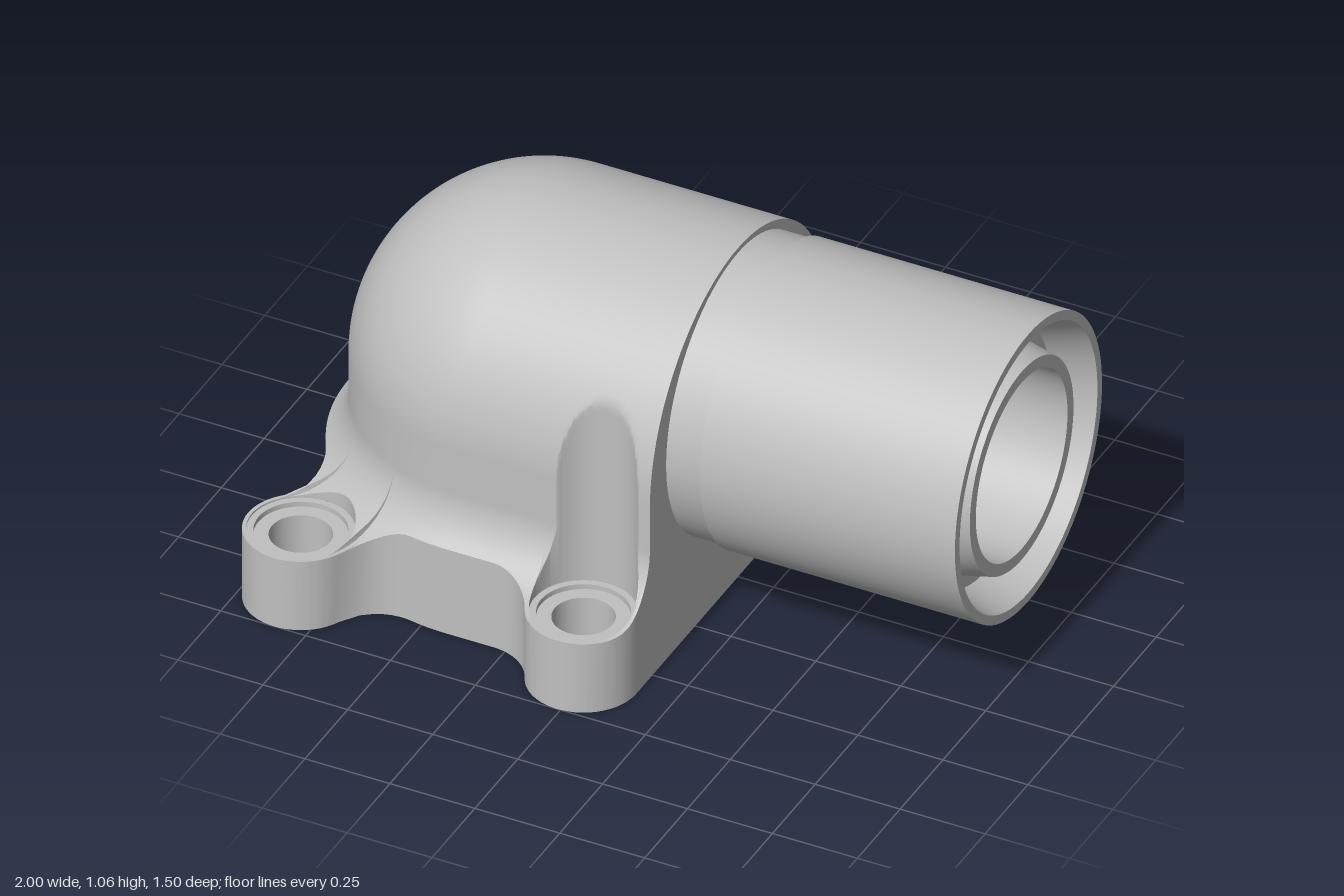
import * as THREE from 'three';
import { toCreasedNormals } from 'three/addons/utils/BufferGeometryUtils.js';

const AX = -0.425, END = 0.145, BORE_Y = 0.625;      // elbow axis, flat end, pipe height
const BODY_R = 0.515, BODY_Y = 0.545, SIDE_Y = 0.41; // dome radius, dome centre, top of fillet
const FIL = 0.19, BASE = 0.575;                      // body fillet, flange offset from the spine
const BOSS_R = 0.155, SEAT_R = 0.144, SEAT_Y = 0.215, NECK = 0.15;
const CAV_R = 0.33, PIPE_R = 0.268;
const rightBoss = { x: -0.01, z: 0.595 }, leftBoss = { x: -0.842, z: 0.595 };

const steel = new THREE.MeshStandardMaterial({ color: 0xc0c0c0, side: THREE.DoubleSide });
steel.name = 'light grey metal';

function part(name, geo, crease = 0.5) {
  const m = new THREE.Mesh(toCreasedNormals(geo, crease), steel);
  m.name = name;
  return m;
}

// Surface through a list of equally long point rows; skips one band if asked
function grid(lines, skip = -1) {
  const out = [], e1 = new THREE.Vector3(), e2 = new THREE.Vector3();
  const tri = (a, b, c) => {
    e1.subVectors(b, a); e2.subVectors(c, a);
    if (e1.cross(e2).length() > 1e-10) for (const p of [a, b, c]) out.push(p.x, p.y, p.z);
  };
  for (let i = 0; i < lines.length - 1; i++) for (let j = 0; j < lines[i].length - 1; j++) {
    if (j === skip) continue;
    const a = lines[i][j], b = lines[i][j + 1], c = lines[i + 1][j + 1], d = lines[i + 1][j];
    tri(a, d, c); tri(a, c, b);
  }
  const g = new THREE.BufferGeometry();
  g.setAttribute('position', new THREE.Float32BufferAttribute(out, 3));
  return g;
}

const lathe = (pts, seg, start = 0, len = Math.PI * 2) =>
  new THREE.LatheGeometry(pts.map(p => new THREE.Vector2(...p)), seg, start, len);

// Height of the body-to-flange fillet at distance d from the spine
const filletY = d => d <= BODY_R ? SIDE_Y : d >= BODY_R + FIL ? SIDE_Y - FIL
  : SIDE_Y - Math.sqrt(FIL * FIL - (BODY_R + FIL - d) ** 2);

// One cross-section, cut from the spine outward in direction (nx, nz)
const ARC = 40, FS = 12, RIM = 8;
function column(ox, nx, nz, boss, necks) {
  const lat = c => (c.x - ox) * nz - c.z * nx;
  const hit = (c, R) => {
    const q = R * R - lat(c) ** 2, al = (c.x - ox) * nx + c.z * nz;
    if (q < -1e-9) return null;
    const s = Math.sqrt(Math.max(q, 0));
    return [al - s, al + s];
  };
  let D = BASE;
  const far = hit(boss, BOSS_R);
  if (far) D = Math.max(D, far[1]);
  for (const F of necks) {
    const k = BOSS_R / (BOSS_R + NECK);
    const T = { x: boss.x + (F.x - boss.x) * k, z: boss.z + (F.z - boss.z) * k };
    const near = hit(F, NECK);
    if (near && lat(F) * lat(T) <= 0) D = Math.max(D, near[0]);
  }
  const seat = hit(boss, SEAT_R);
  const wIn = seat ? seat[0] : BASE, wOut = seat ? seat[1] : BASE;
  D = Math.max(D, wOut);
  const prof = [];
  for (let i = 0; i <= ARC; i++) {
    const t = i / ARC * Math.PI / 2;
    prof.push([Math.min(BODY_R * Math.sin(t), wIn), BODY_Y + BODY_R * Math.cos(t)]);
  }
  for (let i = 0; i <= FS; i++) {
    const d = BODY_R + (Math.max(wIn, BODY_R) - BODY_R) * (i / FS) ** 2;
    prof.push([Math.min(d, wIn), filletY(d)]);
  }
  prof.push([wIn, seat ? SEAT_Y : filletY(wIn)], [wOut, seat ? SEAT_Y : filletY(wOut)]);
  for (let i = 0; i <= RIM; i++) {
    const d = wOut + (D - wOut) * i / RIM;
    prof.push([d, filletY(d)]);
  }
  prof.push([D, 0]);
  return prof.map(([d, y]) => new THREE.Vector3(ox + nx * d, y, nz * d));
}

// Sections along the straight run, round the back and home again
function bodyColumns() {
  const half = [], dF = BASE + NECK, reach = BOSS_R + NECK;
  const sorted = (a, lo, hi) => a.filter(v => v >= lo && v <= hi).sort((p, q) => p - q);
  const span = (lo, hi, n) => Array.from({ length: n + 1 }, (_, i) => lo + (hi - lo) * i / n);
  const waves = span(0, Math.PI, 28).map(Math.cos);

  const F = { x: rightBoss.x - Math.sqrt(reach ** 2 - (dF - rightBoss.z) ** 2), z: dF };
  const xs = sorted([...span(AX, END, 50), F.x, ...waves.map(w => rightBoss.x + w * SEAT_R),
    ...waves.map(w => rightBoss.x + w * BOSS_R)], AX, END + 1e-6).reverse();
  for (const x of xs) half.push(column(x, 0, 1, rightBoss, [F]));

  const R = Math.hypot(leftBoss.x - AX, leftBoss.z), mid = Math.atan2(AX - leftBoss.x, leftBoss.z);
  const del = Math.acos((R * R + dF * dF - reach ** 2) / (2 * R * dF));
  const necks = [mid - del, mid + del].map(a => ({ x: AX - dF * Math.sin(a), z: dF * Math.cos(a) }));
  const angles = sorted([...span(0, Math.PI / 2, 50), mid - del, mid + del,
    ...waves.map(w => mid + Math.asin(w * SEAT_R / R)),
    ...waves.map(w => mid + Math.asin(w * BOSS_R / R))], 0, Math.PI / 2);
  for (const a of angles) half.push(column(AX, -Math.sin(a), Math.cos(a), leftBoss, necks));

  const mirrored = half.slice().reverse().map(c => c.map(p => new THREE.Vector3(p.x, p.y, -p.z)));
  return half.concat(mirrored);
}

const circle = (x, y, r) => new THREE.Path().absarc(x, y, r, 0, Math.PI * 2, true);

// Pipe bore opening into the near half of the upright cavity
function boreJunction() {
  const lines = [], corner = Math.atan2(BORE_Y, CAV_R), N = 96;
  const angles = Array.from({ length: N + 1 }, (_, i) => i / N * Math.PI * 2);
  angles.push(Math.PI + corner, Math.PI * 2 - corner);
  for (const a of angles.sort((p, q) => p - q)) {
    const c = Math.cos(a), s = Math.sin(a);
    const edge = s >= 0 ? CAV_R : Math.min(CAV_R / Math.max(Math.abs(c), 1e-6), BORE_Y / -s);
    const line = [new THREE.Vector3(0.98, BORE_Y + PIPE_R * s, PIPE_R * c)];
    for (let i = 0; i <= 12; i++) {
      const r = PIPE_R + (edge - PIPE_R) * Math.sin(i / 12 * Math.PI / 2);
      const z = r * c, y = r * s;
      const x = Math.sqrt(Math.max(CAV_R ** 2 - z * z - Math.max(y, 0) ** 2, 0));
      line.push(new THREE.Vector3(AX + x, BORE_Y + y, z));
    }
    lines.push(line);
  }
  return grid(lines);
}

export function createModel() {
  const g = new THREE.Group();
  g.name = 'flangedPipeElbow';

  // Domed body, flange, bosses and seat cuts in one skin
  const cols = bodyColumns();
  g.add(part('elbowBody', grid(cols, ARC + FS + 2)));

  // Flat end of the body, open for the pipe
  const right = cols[0].map(p => new THREE.Vector2(p.z, p.y));
  const left = right.slice(1).reverse().map(p => new THREE.Vector2(-p.x, p.y));
  const endShape = new THREE.Shape(right.concat(left));
  endShape.holes.push(circle(0, BORE_Y, 0.4));
  const endFace = new THREE.ShapeGeometry(endShape, 48).rotateY(Math.PI / 2).translate(END, 0, 0);
  g.add(part('bodyEndFace', endFace));

  // Underside of the flange
  const outline = [];
  for (const c of cols) {
    const p = c[c.length - 1], q = outline[outline.length - 1];
    if (!q || Math.hypot(p.x - q.x, p.z - q.y) > 1e-5) outline.push(new THREE.Vector2(p.x, p.z));
  }
  const under = new THREE.Shape(outline);
  under.holes.push(circle(AX, 0, 0.475));

  // Bolt holes with stepped seats
  for (const b of [rightBoss, leftBoss]) for (const s of [1, -1]) {
    under.holes.push(circle(b.x, b.z * s, 0.085));
    const seat = part('boltHole', lathe([[SEAT_R, SEAT_Y], [0.125, SEAT_Y], [0.125, 0.2],
      [0.085, 0.2], [0.085, 0]], 48));
    seat.position.set(b.x, 0, b.z * s);
    g.add(seat);
  }
  g.add(part('flangeUnderside', new THREE.ShapeGeometry(under, 48).rotateX(Math.PI / 2)));

  // Seal groove round the lower opening
  const groove = part('sealGroove', lathe([[CAV_R, 0], [0.415, 0], [0.415, 0.05], [0.475, 0.05], [0.475, 0]], 96));
  groove.position.x = AX;
  g.add(groove);

  // Rear half of the cavity, domed on top
  const dome = [];
  for (let i = 0; i <= 20; i++) {
    const t = i / 20 * Math.PI / 2;
    dome.push([CAV_R * Math.sin(t), BORE_Y + CAV_R * Math.cos(t)]);
  }
  const cavity = part('cavityWall', lathe([...dome, [CAV_R, 0]], 48, Math.PI, Math.PI));
  cavity.position.x = AX;
  g.add(cavity, part('pipeBore', boreJunction()));

  // Outlet pipe: neck, sleeve, bevelled recess and inner tube lip
  const pipe = part('outletPipe', lathe([[0.4, END - 0.005], [0.42, END - 0.005], [0.42, 0.25], [0.43, 0.25],
    [0.43, 1], [0.403, 1], [0.365, 0.88], [0.325, 0.88], [0.303, 0.98], [PIPE_R, 0.98]], 96).rotateZ(-Math.PI / 2));
  pipe.position.y = BORE_Y;
  g.add(pipe);
  return g;
}
